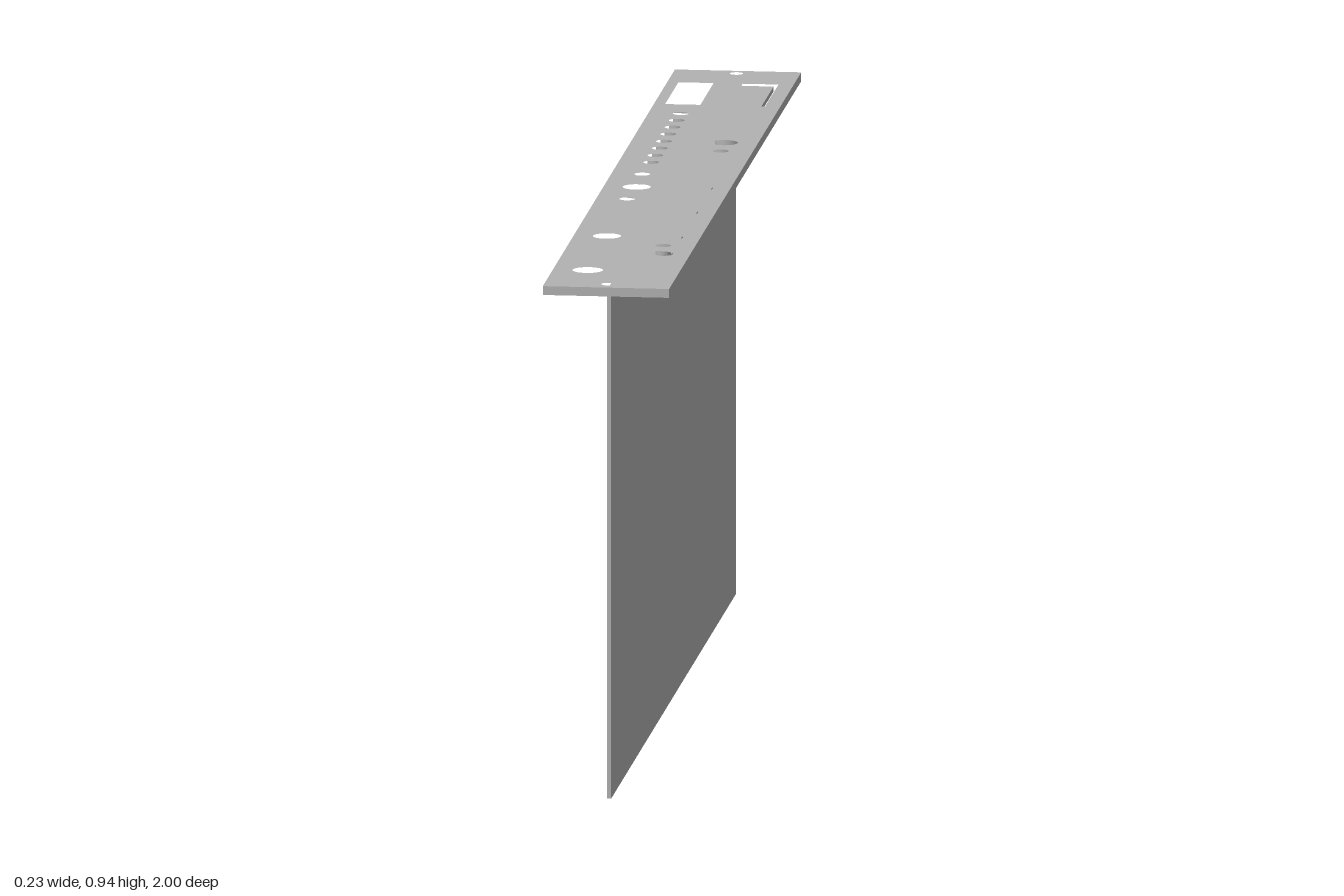
import * as THREE from 'three';

export function createModel() {
  const group = new THREE.Group();
  const grey = new THREE.MeshStandardMaterial({ color: 0xb2b2b2 });
  grey.name = 'plain grey';

  // Face plate outline, drawn with shape y = -z
  const rect = (path, x0, x1, z0, z1) => {
    path.moveTo(x0, -z0);
    path.lineTo(x1, -z0);
    path.lineTo(x1, -z1);
    path.lineTo(x0, -z1);
    path.closePath();
    return path;
  };
  const outline = rect(new THREE.Shape(), -0.113, 0.113, -1, 1);

  // Rectangular slots
  for (const [x0, x1] of [[-0.093, -0.03], [0.022, 0.086]]) {
    outline.holes.push(rect(new THREE.Path(), x0, x1, -0.884, -0.683));
  }

  // Round holes: x, radius, then z positions
  const small = 0.014, large = 0.025;
  const rows = [
    [-0.055, small, [-0.6, -0.537, -0.474, -0.41, -0.344, -0.28, -0.214, -0.15]],
    [-0.058, small, [-0.04, 0.188]],
    [-0.054, large, [0.077, 0.53]],
    [-0.051, 0.027, [0.844]],
    [0.056, small, [-0.537, -0.267, 0.605]],
    [0.053, 0.024, [-0.407, -0.344, -0.15]],
    [0.057, large, [0.077, 0.3, 0.53, 0.682]],
    [0, 0.012, [-0.976, 0.968]], // mounting screws
  ];
  for (const [x, r, zs] of rows) {
    for (const z of zs) {
      outline.holes.push(new THREE.Path().absarc(x, -z, r, 0, Math.PI * 2, true));
    }
  }
  const plateGeometry = new THREE.ExtrudeGeometry(outline, {
    depth: 0.016, bevelEnabled: false, curveSegments: 16,
  });
  plateGeometry.rotateX(-Math.PI / 2);
  const plate = new THREE.Mesh(plateGeometry, grey);
  plate.name = 'facePlate';
  plate.position.y = 0.92;
  group.add(plate);

  const addBox = (name, x0, x1, y0, y1, halfLength) => {
    const mesh = new THREE.Mesh(
      new THREE.BoxGeometry(x1 - x0, y1 - y0, halfLength * 2), grey);
    mesh.name = name;
    mesh.position.set((x0 + x1) / 2, (y0 + y1) / 2, 0);
    group.add(mesh);
  };

  // Upright panel and the folded lip under the plate
  addBox('uprightPanel', -0.005, 0.003, 0, 0.92, 0.945);
  addBox('mountingLip', 0.003, 0.07, 0.911, 0.92, 0.945);

  return group;
}
